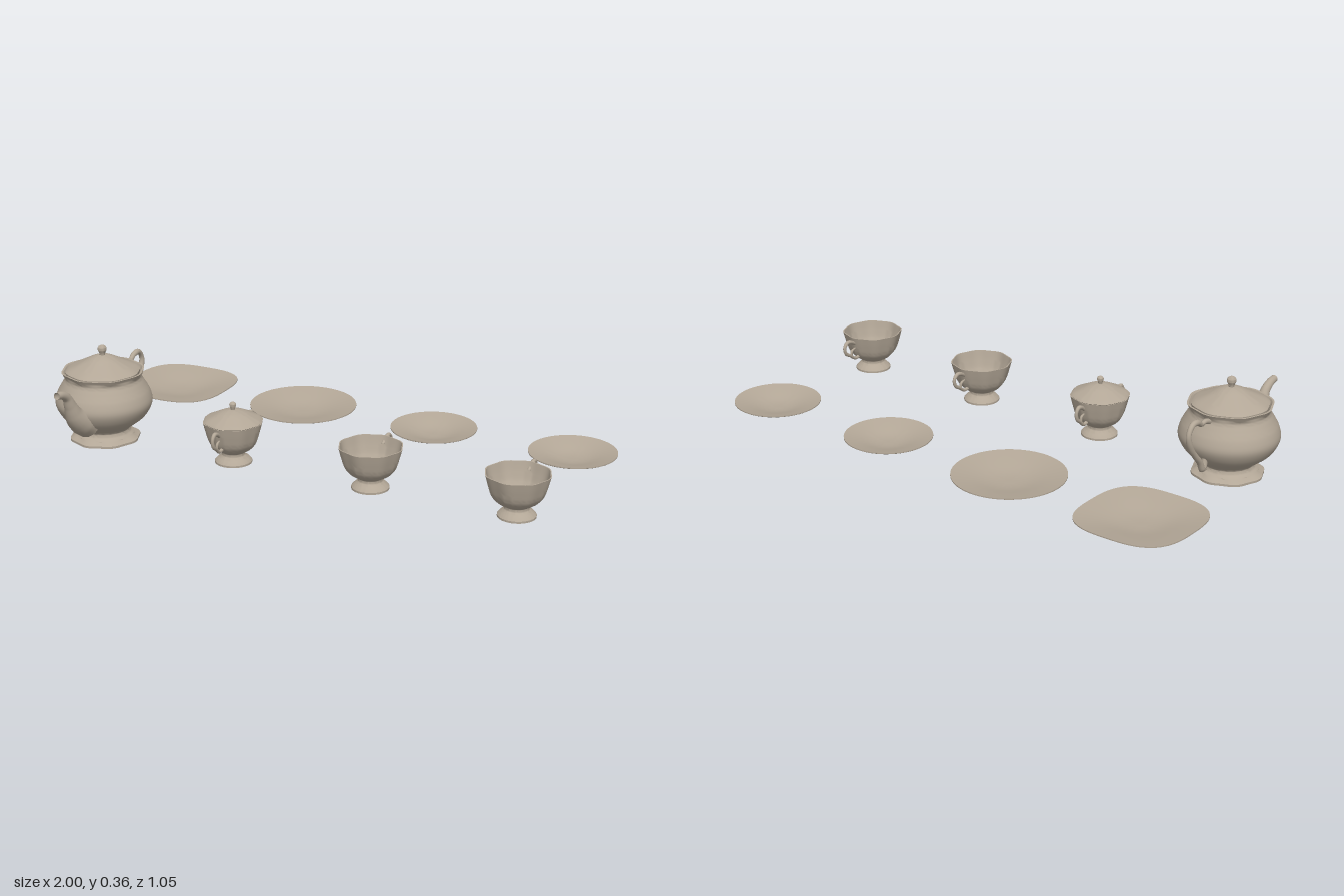
import * as THREE from 'three';
import { mergeVertices, toCreasedNormals } from 'three/addons/utils/BufferGeometryUtils.js';

const porcelain = new THREE.MeshStandardMaterial({ color: 0xb3a797 });
porcelain.name = 'porcelain';
porcelain.side = THREE.DoubleSide;

function mesh(name, geometry) {
  const m = new THREE.Mesh(geometry, porcelain);
  m.name = name;
  return m;
}

// Each list of [r, y] points is one smooth run; runs meet at sharp corners.
function profile(...runs) {
  const out = [];
  for (const run of runs) {
    const pts = run.map(([r, y]) => new THREE.Vector2(r, y));
    out.push(...(pts.length > 2 ? new THREE.SplineCurve(pts).getPoints(pts.length * 4) : pts));
  }
  out.forEach((p) => { p.x = Math.max(p.x, 0); });
  return out.filter((p, i) => i === 0 || p.distanceTo(out[i - 1]) > 1e-5);
}

// Turned shape whose radius is changed by a rule of angle, radius and height.
function turned(points, rule = () => 1) {
  const geo = new THREE.LatheGeometry(points, 64);
  const p = geo.attributes.position;
  for (let i = 0; i < p.count; i++) {
    const x = p.getX(i), z = p.getZ(i);
    const k = rule(Math.atan2(x, z), Math.hypot(x, z), p.getY(i));
    p.setX(i, x * k);
    p.setZ(i, z * k);
  }
  geo.deleteAttribute('uv');
  geo.deleteAttribute('normal');
  return toCreasedNormals(mergeVertices(geo, 1e-5), 0.7);
}

// Tube in the z-y plane; radii are spread evenly along its length.
function taperedTube(points, radii, sides = 12) {
  const curve = new THREE.CatmullRomCurve3(points.map(([z, y]) => new THREE.Vector3(0, y, z)));
  const steps = 48;
  const geo = new THREE.TubeGeometry(curve, steps, 1, sides, false);
  const p = geo.attributes.position;
  const v = new THREE.Vector3();
  for (let i = 0; i <= steps; i++) {
    const c = curve.getPointAt(i / steps);
    const f = (i / steps) * (radii.length - 1);
    const a = Math.min(Math.floor(f), radii.length - 2);
    const r = THREE.MathUtils.lerp(radii[a], radii[a + 1], f - a);
    for (let j = 0; j <= sides; j++) {
      const n = i * (sides + 1) + j;
      v.fromBufferAttribute(p, n).sub(c).multiplyScalar(r).add(c);
      p.setXYZ(n, v.x, v.y, v.z);
    }
  }
  geo.deleteAttribute('uv');
  geo.deleteAttribute('normal');
  const merged = mergeVertices(geo, 1e-5);
  merged.computeVertexNormals();
  return merged;
}

const knob = (y, r) => [[r * 0.6, y], [r * 0.7, y + r * 0.5], [r, y + r * 1.3], [r * 0.75, y + r * 2], [0, y + r * 2.4]];

function teapot() {
  const g = new THREE.Group();
  g.name = 'teapot';
  const scallop = (a, r, y) => (y < 0.02 ? 1 + 0.025 * Math.cos(8 * a) : y > 0.245 ? 1 + 0.02 * Math.cos(8 * a) : 1);
  g.add(mesh('teapotBody', turned(profile(
    [[0, 0.01], [0.11, 0.01]],
    [[0.127, 0], [0.127, 0.008]],
    [[0.11, 0.018], [0.093, 0.032], [0.094, 0.046], [0.118, 0.064], [0.155, 0.095], [0.178, 0.14], [0.171, 0.18], [0.152, 0.215], [0.14, 0.24], [0.15, 0.264]],
    [[0.143, 0.264], [0.132, 0.245]],
  ), scallop)));
  g.add(mesh('teapotLid', turned(profile(
    [[0.134, 0.25], [0.136, 0.264]],
    [[0.125, 0.272], [0.1, 0.284], [0.07, 0.299], [0.04, 0.314], [0.014, 0.322]],
    knob(0.322, 0.0165),
  ), (a, r, y) => (r > 0.06 && y < 0.31 ? 1 + 0.015 * Math.cos(8 * a) : 1))));
  g.add(mesh('spout', taperedTube(
    [[0.12, 0.1], [0.16, 0.12], [0.195, 0.15], [0.22, 0.195], [0.24, 0.232], [0.27, 0.25], [0.3, 0.256]],
    [0.058, 0.052, 0.042, 0.031, 0.023, 0.017, 0.015, 0.013], 16)));
  g.add(mesh('teapotHandle', taperedTube(
    [[-0.13, 0.236], [-0.165, 0.247], [-0.19, 0.244], [-0.21, 0.258], [-0.245, 0.26], [-0.267, 0.228], [-0.25, 0.175], [-0.218, 0.135], [-0.19, 0.105], [-0.168, 0.068], [-0.16, 0.085], [-0.155, 0.11]],
    [0.011, 0.008, 0.011, 0.009, 0.011, 0.01, 0.011, 0.012, 0.01])));
  return g;
}

// Fluted cup shared by the teacups and the sugar bowl.
function cupBody(name, scale) {
  const flute = (a, r, y) => (y < 0.02 ? 1 : scale * (1 + 0.022 * Math.cos(8 * a) * Math.min(1, (y - 0.02) / 0.05)));
  return mesh(name, turned(profile(
    [[0, 0.008], [0.06, 0.006]],
    [[0.067, 0], [0.067, 0.007]],
    [[0.058, 0.017], [0.044, 0.03], [0.046, 0.042], [0.068, 0.054], [0.09, 0.08], [0.103, 0.118], [0.113, 0.156]],
    [[0.109, 0.156], [0.099, 0.118], [0.085, 0.083], [0.06, 0.059], [0, 0.05]],
  ), flute));
}

// Ear handle reaching toward -z, with a small thumb curl.
function earHandle(name, reach) {
  const g = new THREE.Group();
  g.name = name;
  const at = (t) => 0.088 + (reach - 0.088) * t;
  g.add(mesh('handleLoop', taperedTube(
    [[-at(0.15), 0.128], [-at(0.45), 0.142], [-at(0.75), 0.147], [-at(0.96), 0.13], [-at(0.88), 0.105], [-at(0.55), 0.088], [-at(0.25), 0.072], [-at(-0.15), 0.074]],
    [0.006, 0.008, 0.006, 0.007, 0.006, 0.007], 10)));
  g.add(mesh('handleCurl', taperedTube(
    [[-at(0.5), 0.088], [-at(0.45), 0.105], [-at(0.2), 0.112]], [0.005, 0.005, 0.003], 8)));
  return g;
}

function teacup() {
  const g = new THREE.Group();
  g.name = 'teacup';
  g.add(cupBody('cupBowl', 1), earHandle('cupHandle', 0.168));
  return g;
}

function sugarBowl() {
  const g = new THREE.Group();
  g.name = 'sugarBowl';
  const leftHandle = earHandle('frontHandle', 0.15);
  leftHandle.rotation.y = Math.PI;
  g.add(cupBody('sugarBowlBody', 0.95), earHandle('backHandle', 0.15), leftHandle);
  g.add(mesh('sugarBowlLid', turned(profile(
    [[0.1, 0.15], [0.106, 0.158]],
    [[0.098, 0.165], [0.075, 0.176], [0.045, 0.19], [0.02, 0.197], [0.01, 0.199]],
    knob(0.199, 0.0125),
  ), (a, r) => (r > 0.05 ? 1 + 0.015 * Math.cos(8 * a) : 1))));
  return g;
}

// Shallow dish; power above 2 squares off the outline.
function plate(name, radius, power = 2) {
  const square = (a, r) => {
    const k = (Math.abs(Math.sin(a)) ** power + Math.abs(Math.cos(a)) ** power) ** (-1 / power);
    return 1 + (k - 1) * (r / radius);
  };
  return mesh(name, turned(profile(
    [[0, 0.003], [radius * 0.27, 0.003]],
    [[radius * 0.3, 0.004], [radius * 0.98, 0.035]],
    [[radius, 0.037], [radius, 0.041]],
    [[radius * 0.97, 0.04], [radius * 0.7, 0.029], [radius * 0.4, 0.016], [radius * 0.2, 0.011], [0, 0.01]],
  ), square));
}

export function createModel() {
  const set = new THREE.Group();
  set.name = 'teaSet';
  const place = (part, x, z) => {
    part.position.set(x, 0, z);
    set.add(part);
  };
  // Front row of vessels, back row of dishes
  place(teapot(), -0.797, 0.222);
  place(sugarBowl(), -0.252, 0.222);
  place(plate('squarePlate', 0.203, 3), -0.797, -0.323);
  place(plate('roundPlate', 0.203), -0.252, -0.323);
  for (const x of [0.293, 0.838]) {
    place(teacup(), x, 0.222);
    place(plate('saucer', 0.161), x, -0.323);
  }
  return set;
}
